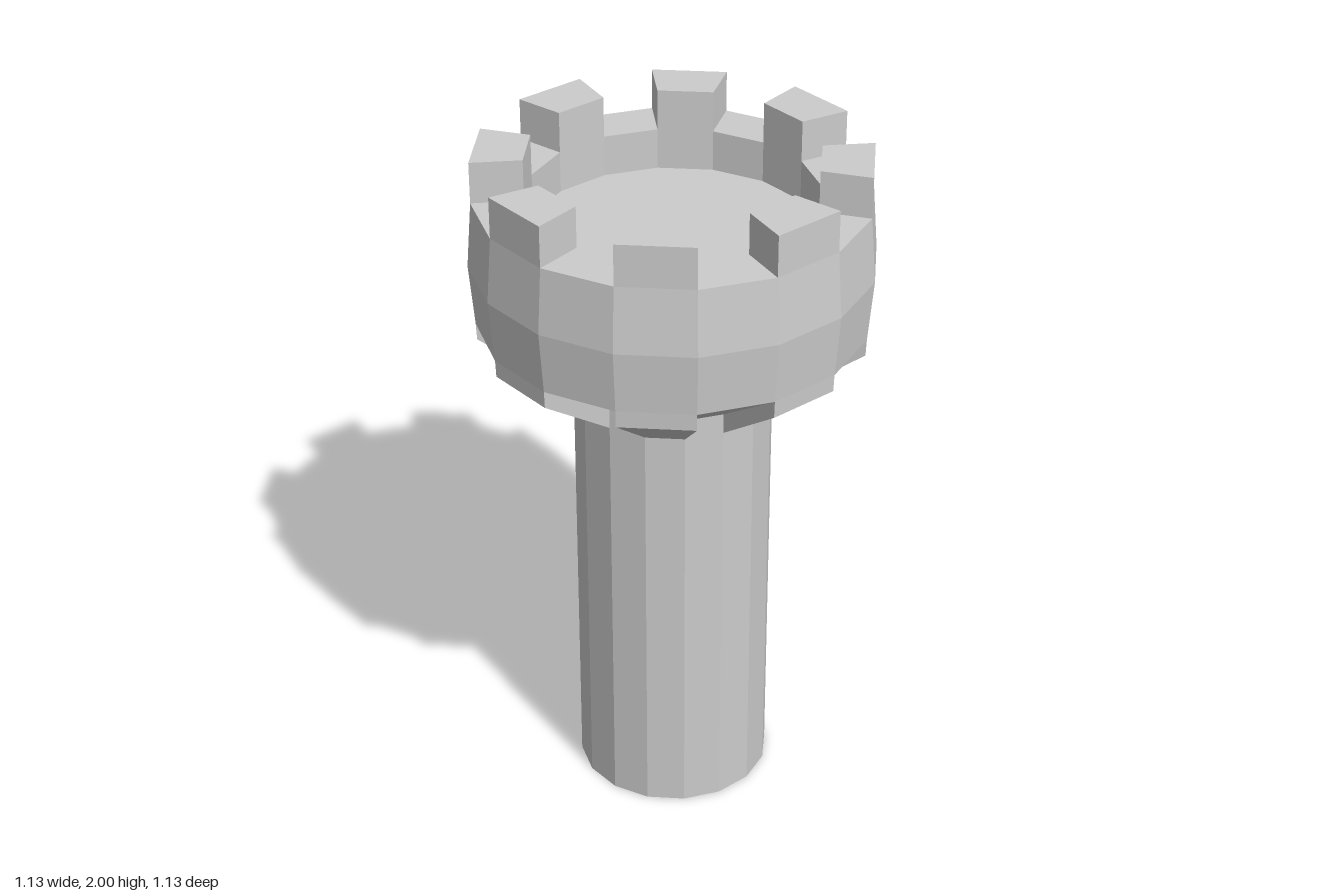
import * as THREE from 'three';

const SIDES = 16;
const STEP = (Math.PI * 2) / SIDES;
const material = new THREE.MeshStandardMaterial({ color: 0xcccccc, flatShading: true });

// Faceted solid of revolution from [radius, height] pairs
function turned(name, profile) {
  const points = profile.map(([r, y]) => new THREE.Vector2(r, y));
  const mesh = new THREE.Mesh(new THREE.LatheGeometry(points, SIDES), material);
  mesh.name = name;
  return mesh;
}

// One-facet block: a four-point section swept over one side, with closed ends.
// The face joining the last point to the first is left open (it sits on the tower).
function facetBlock(section) {
  const at = ([r, y], a) => [r * Math.sin(a), y, r * Math.cos(a)];
  const start = section.map((p) => at(p, 0));
  const end = section.map((p) => at(p, STEP));
  const positions = [];
  const quad = (a, b, c, d) => positions.push(...a, ...b, ...c, ...a, ...c, ...d);
  for (let i = 0; i < 3; i++) quad(start[i], end[i], end[i + 1], start[i + 1]);
  quad(...start);
  quad(...end.slice().reverse());
  const geometry = new THREE.BufferGeometry();
  geometry.setAttribute('position', new THREE.Float32BufferAttribute(positions, 3));
  geometry.computeVertexNormals();
  return geometry;
}

export function createModel() {
  const model = new THREE.Group();
  model.name = 'tower';

  // Shaft with closed base
  model.add(turned('shaft', [[0, 0], [0.283, 0], [0.283, 1.33]]));

  // Flared head, bulging wall, rim and sunken floor
  model.add(turned('head', [
    [0.283, 1.33], [0.55, 1.51], [0.565, 1.69], [0.55, 1.88],
    [0.405, 1.88], [0.405, 1.76], [0, 1.76],
  ]));

  // Battlements and the brackets below them, on every second side
  const merlon = facetBlock([[0.55, 1.88], [0.55, 2], [0.405, 2], [0.405, 1.88]]);
  const bracket = facetBlock([[0.283, 1.27], [0.548, 1.46], [0.55, 1.51], [0.283, 1.33]]);
  for (let i = 1; i < SIDES; i += 2) {
    for (const [name, geometry] of [['merlon', merlon], ['bracket', bracket]]) {
      const mesh = new THREE.Mesh(geometry, material);
      mesh.name = name;
      mesh.rotation.y = i * STEP;
      model.add(mesh);
    }
  }
  return model;
}
